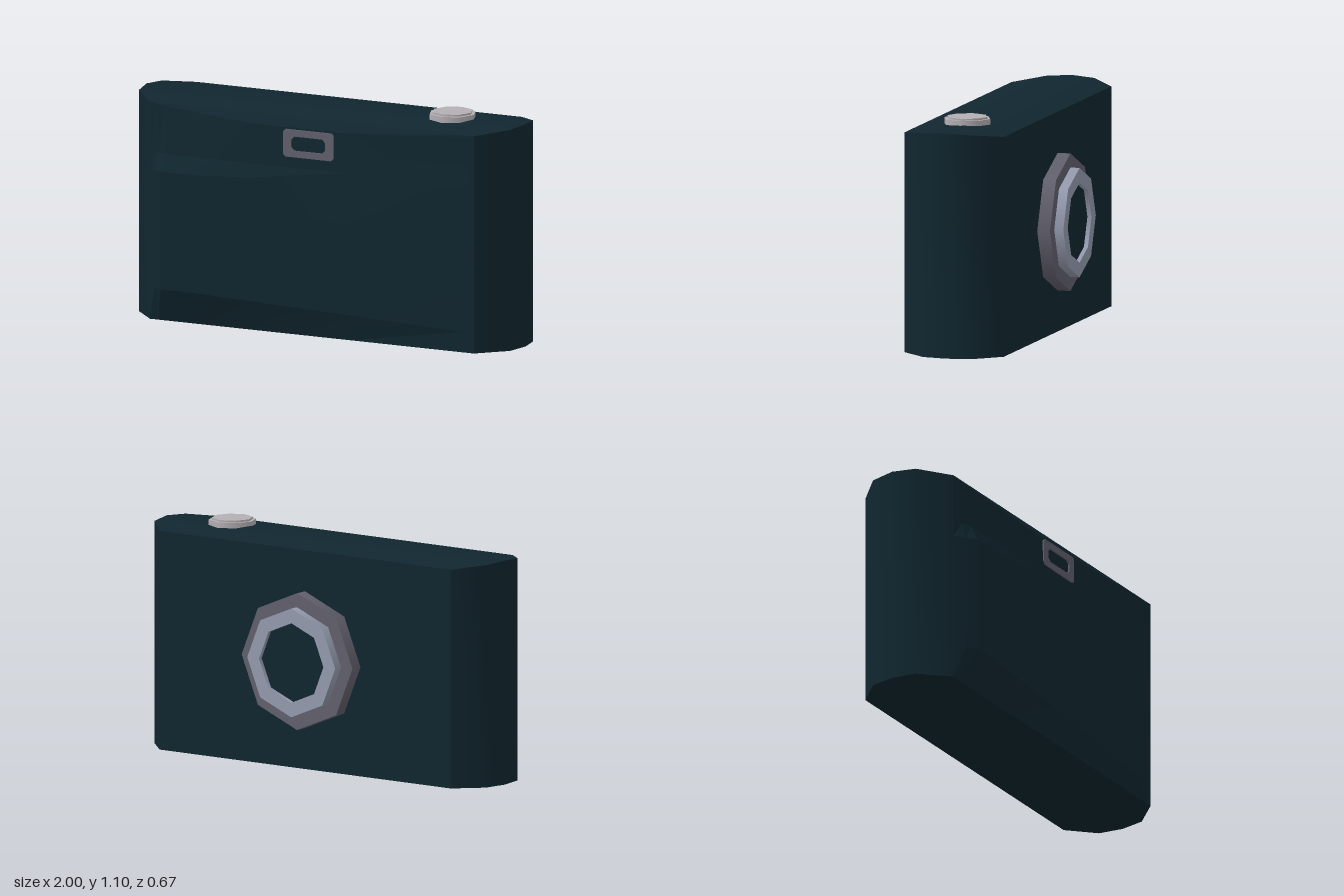
import * as THREE from 'three';
import { toCreasedNormals } from 'three/addons/utils/BufferGeometryUtils.js';

const mat = (name, color, side = THREE.FrontSide) => {
  const m = new THREE.MeshStandardMaterial({ color, side });
  m.name = name;
  return m;
};

// Skin between rows of points; closed joins the last point of a row to the first
function skin(rows, closed, crease) {
  const n = rows[0].length, index = [];
  for (let r = 0; r < rows.length - 1; r++) {
    for (let i = 0; i < (closed ? n : n - 1); i++) {
      const j = (i + 1) % n, a = r * n + i, b = r * n + j, c = a + n, d = b + n;
      index.push(a, b, d, a, d, c);
    }
  }
  if (closed) index.push(0, 3, 2, 0, 2, 1); // back wall
  const g = new THREE.BufferGeometry();
  g.setAttribute('position', new THREE.Float32BufferAttribute(rows.flat(2), 3));
  g.setIndex(index);
  return toCreasedNormals(g, crease);
}

export function createModel() {
  const group = new THREE.Group();
  const bodyMat = mat('dark teal', 0x10262f);
  const darkMetal = mat('dark metal', 0x62606d, THREE.DoubleSide);
  const lightMetal = mat('blue grey metal', 0x949bae, THREE.DoubleSide);
  const silver = mat('silver', 0xb4afb3);
  const add = (name, geometry, material, parent = group) => {
    const mesh = new THREE.Mesh(geometry, material);
    mesh.name = name;
    parent.add(mesh);
    return mesh;
  };

  // Body: rectangles lofted from back to front, [z, half width, height]
  const sections = [
    [-0.23, 0.86, 1.045], [-0.11, 0.98, 1.063], [0.01, 1, 1.07],
    [0.13, 0.98, 1.063], [0.26, 0.855, 1.045],
  ];
  add('body', skin(sections.map(([z, w, h]) =>
    [[-w, 0, z], [w, 0, z], [w, h, z], [-w, h, z]]), true, 0.7), bodyMat);

  // Front panel: tapering grip bulge, with a raised strip behind the viewfinder
  // columns: [x, bulge z, shoulder z, upper z, upper y]
  const columns = [
    [-0.855, 0.26, 0.26, 0.26, 1.04], [-0.81, 0.3, 0.275, 0.263, 1.037],
    [-0.76, 0.335, 0.295, 0.266, 1.033], [-0.6, 0.335, 0.302, 0.275, 1.02],
    [-0.3, 0.32, 0.3, 0.29, 1], [0.2, 0.294, 0.29, 0.288, 1],
    [0.8, 0.264, 0.263, 0.262, 1.035], [0.855, 0.26, 0.26, 0.26, 1.04],
  ];
  const taper = x => THREE.MathUtils.clamp((x + 0.6) / 1.4, 0, 1);
  const frontRows = [
    columns.map(([x]) => [x, 0, 0.26]),
    columns.map(([x, b]) => [x, 0.165 - 0.065 * taper(x), b]),
    columns.map(([x, b]) => [x, 0.73 + 0.07 * taper(x), b]),
    columns.map(([x, , s]) => [x, 0.81, s]),
    columns.map(([x, , , u, y]) => [x, y, u]),
    columns.map(([x]) => [x, 1.045, 0.26]),
  ];
  add('frontPanel', skin(frontRows, false, 0.15), bodyMat);

  // Viewfinder frame with a rounded opening
  const roundRect = (Type, w, h, r) => {
    const s = new Type();
    s.moveTo(-w + r, -h).lineTo(w - r, -h).lineTo(w, -h + r).lineTo(w, h - r)
      .lineTo(w - r, h).lineTo(-w + r, h).lineTo(-w, h - r).lineTo(-w, -h + r).closePath();
    return s;
  };
  const frame = roundRect(THREE.Shape, 0.132, 0.066, 0.012);
  frame.holes.push(roundRect(THREE.Path, 0.09, 0.034, 0.016));
  add('viewfinderFrame', new THREE.ExtrudeGeometry(frame, { depth: 0.02, bevelEnabled: false }), darkMetal)
    .position.set(0, 0.926, 0.279);

  // Eight-sided lens on the back; local +y points away from the body
  const lens = new THREE.Group();
  lens.name = 'lens';
  lens.position.set(0, 0.522, -0.23);
  lens.rotation.x = -Math.PI / 2;
  group.add(lens);
  const ring = (name, outer, inner, from, to, material) => {
    for (const [part, r] of [['Outside', outer], ['Inside', inner]]) {
      add(name + part, new THREE.CylinderGeometry(r, r, to - from, 8, 1, true), material, lens)
        .position.y = (from + to) / 2;
    }
    const face = new THREE.RingGeometry(inner, outer, 8).rotateX(-Math.PI / 2);
    add(name + 'Face', face, material, lens).position.y = to;
  };
  ring('lensBase', 0.327, 0.25, 0, 0.063, darkMetal);
  ring('lensRim', 0.26, 0.19, 0.04, 0.108, lightMetal);
  add('lensGlass', new THREE.CylinderGeometry(0.19, 0.19, 0.08, 8), bodyMat, lens).position.y = 0.048;

  // Stepped shutter button
  for (const [name, r, y, h] of [['buttonBase', 0.113, 1.073, 0.036], ['buttonCap', 0.098, 1.08, 0.04]]) {
    add(name, new THREE.CylinderGeometry(r, r, h, 8), silver).position.set(0.622, y, 0.023);
  }
  return group;
}
